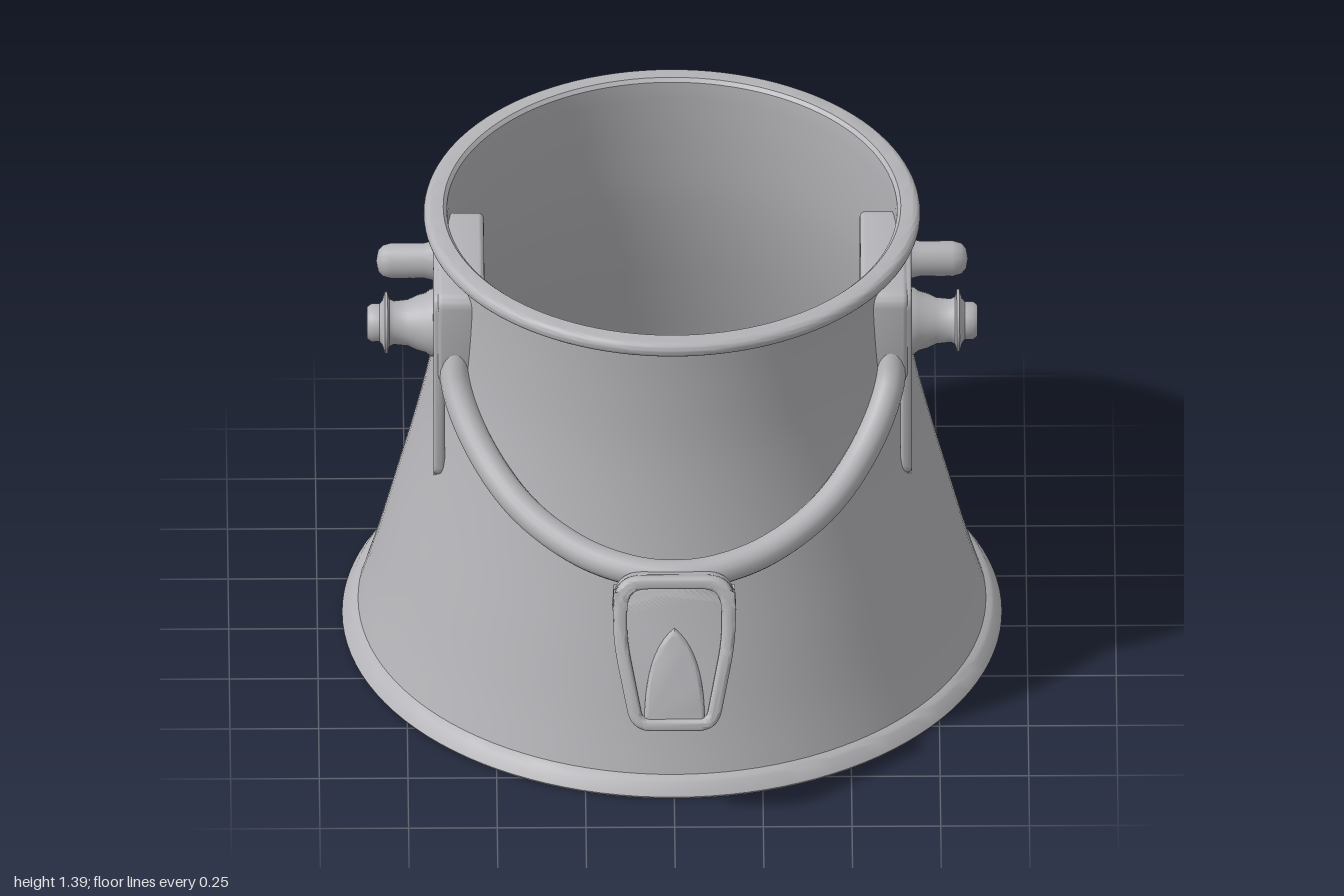
import * as THREE from 'three';
import { toCreasedNormals } from 'three/addons/utils/BufferGeometryUtils.js';

const metal = new THREE.MeshStandardMaterial({ color: 0xb4b4b8, side: THREE.DoubleSide });
metal.name = 'grey metal';

const v2 = (pts) => pts.map(([x, y]) => new THREE.Vector2(x, y));

function part(name, geometry) {
  const mesh = new THREE.Mesh(geometry, metal);
  mesh.name = name;
  return mesh;
}

// Mirror a geometry across x, keeping the faces pointing outwards
function mirrorX(geometry) {
  const g = geometry.index ? geometry.toNonIndexed() : geometry.clone();
  g.scale(-1, 1, 1);
  for (const key of ['position', 'normal']) {
    const a = g.attributes[key];
    for (let i = 0; i < a.count; i += 3) {
      const p = [a.getX(i), a.getY(i), a.getZ(i)];
      a.setXYZ(i, a.getX(i + 1), a.getY(i + 1), a.getZ(i + 1));
      a.setXYZ(i + 1, ...p);
    }
  }
  return g;
}

// Closed outline with rounded corners; each point is [x, y, radius]
function roundedOutline(pts, Type = THREE.Shape) {
  const shape = new Type();
  const n = pts.length;
  pts.forEach(([x, y, r], i) => {
    const toward = ([px, py]) => {
      const d = Math.hypot(px - x, py - y);
      return [x + ((px - x) * r) / d, y + ((py - y) * r) / d];
    };
    const a = toward(pts[(i + n - 1) % n]);
    const b = toward(pts[(i + 1) % n]);
    if (i === 0) shape.moveTo(...a);
    else shape.lineTo(...a);
    shape.quadraticCurveTo(x, y, ...b);
  });
  shape.closePath();
  return shape;
}

function extrude(shape, depth, bevel) {
  const g = new THREE.ExtrudeGeometry(shape, {
    depth: depth - 2 * bevel, bevelEnabled: bevel > 0, bevelSize: bevel, bevelOffset: -bevel,
    bevelThickness: bevel, bevelSegments: 4, curveSegments: 10,
  });
  g.translate(0, 0, bevel);
  return g;
}

// Side plate: outline drawn in (-z, y), thickness running from x0 to x1
function sidePlate(pts, x0, x1, bevel) {
  const g = extrude(roundedOutline(pts), x1 - x0, bevel);
  g.rotateY(Math.PI / 2).translate(x0, 0, 0);
  return toCreasedNormals(g, 0.6);
}

// Turned pin pointing along +x; profile points are [radius, x]
function pin(profile, y, z, squash = 1) {
  const g = new THREE.LatheGeometry(v2(profile), 32);
  g.rotateZ(-Math.PI / 2).scale(1, 1, squash).translate(0, y, z);
  return toCreasedNormals(g, 0.7);
}

function createBody() {
  const wall = new THREE.SplineCurve(v2([
    [0.885, 0.055], [0.842, 0.2], [0.79, 0.4], [0.739, 0.6],
    [0.694, 0.8], [0.662, 1.0], [0.648, 1.2], [0.645, 1.345],
  ])).getPoints(36);
  const inner = wall.map((p) => new THREE.Vector2(p.x - 0.012, p.y)).reverse();
  const rim = [];
  for (let i = 0; i <= 12; i++) {
    const a = -Math.PI / 2 + (Math.PI * i) / 12;
    rim.push(new THREE.Vector2(0.678 + 0.022 * Math.cos(a), 1.367 + 0.023 * Math.sin(a)));
  }
  const profile = [
    ...v2([[0.9, 0], [0.925, 0], [0.93, 0.008], [0.908, 0.042], [0.9, 0.048]]),
    ...wall, ...rim,
    ...v2([[0.645, 1.39], [0.635, 1.38]]),
    ...inner, ...v2([[0.9, 0]]),
  ];
  const g = toCreasedNormals(new THREE.LatheGeometry(profile, 112), 0.6);
  return part('flared body', g.translate(0, 0, -0.068));
}

function createHandle() {
  const half = [[0.615, 1.09, 0.2], [0.61, 1.0, 0.255], [0.55, 0.885, 0.375],
    [0.43, 0.78, 0.535], [0.27, 0.715, 0.66], [0.12, 0.693, 0.73]];
  const pts = [
    ...half, [0, 0.69, 0.75],
    ...half.map(([x, y, z]) => [-x, y, z]).reverse(),
  ].map((p) => new THREE.Vector3(...p));
  return part('swing handle', new THREE.TubeGeometry(new THREE.CatmullRomCurve3(pts), 96, 0.043, 16));
}

function createTab() {
  const tab = new THREE.Group();
  tab.name = 'handle tab';
  const outline = [[-0.122, -0.225, 0.06], [0.122, -0.225, 0.06],
    [0.178, 0.06, 0.1], [0.168, 0.222, 0.08], [-0.168, 0.222, 0.08], [-0.178, 0.06, 0.1]];
  const hole = [[-0.09, -0.19, 0.02], [0.09, -0.19, 0.02],
    [0.138, 0.06, 0.08], [0.128, 0.185, 0.05], [-0.128, 0.185, 0.05], [-0.138, 0.06, 0.08]];

  // Base grows thicker towards its top
  const base = extrude(roundedOutline(outline), 0.05, 0.015);
  const p = base.attributes.position;
  for (let i = 0; i < p.count; i++) {
    const t = THREE.MathUtils.clamp((p.getY(i) + 0.225) / 0.4, 0, 1);
    p.setZ(i, (p.getZ(i) - 0.05) * (0.5 + 0.9 * t) - 0.015);
  }
  tab.add(part('tab base', toCreasedNormals(base, 0.8)));

  // Raised frame around the sunken face
  const frame = roundedOutline(outline);
  frame.holes.push(roundedOutline(hole, THREE.Path));
  const frameGeo = extrude(frame, 0.045, 0.012).translate(0, 0, -0.035);
  tab.add(part('tab frame', toCreasedNormals(frameGeo, 0.8)));

  // Pointed ridge on the face
  const ridge = new THREE.Shape();
  ridge.moveTo(-0.085, -0.2);
  ridge.lineTo(0.085, -0.2);
  ridge.quadraticCurveTo(0.085, 0, 0, 0.07);
  ridge.quadraticCurveTo(-0.085, 0, -0.085, -0.2);
  tab.add(part('tab ridge', toCreasedNormals(extrude(ridge, 0.03, 0.012).translate(0, 0, -0.03), 0.8)));

  tab.rotation.x = -0.38;
  tab.position.set(0, 0.535, 0.915);
  return tab;
}

export function createModel() {
  const model = new THREE.Group();
  model.name = 'flared bucket';
  model.add(createBody(), createHandle(), createTab());

  // Hinge hardware, made for the left side and mirrored
  const hardware = {
    hingeBlock: sidePlate([[-0.245, 1.0, 0.03], [0.21, 1.0, 0.03],
      [0.215, 1.29, 0.05], [-0.245, 1.29, 0.05]], 0.53, 0.664, 0.015),
    hingePlate: sidePlate([[-0.2, 0.665, 0.02], [0.21, 0.84, 0.02],
      [0.215, 1.285, 0.05], [-0.24, 1.285, 0.05], [-0.235, 0.68, 0.03]], 0.642, 0.674, 0.01),
    upperPin: pin([[0.066, 0.64], [0.06, 0.67], [0.052, 0.7], [0.053, 0.79],
      [0.046, 0.815], [0.03, 0.829], [0, 0.834]], 1.217, -0.055, 0.85),
    lowerPin: pin([[0.1, 0.64], [0.096, 0.68], [0.085, 0.695], [0.078, 0.72], [0.066, 0.745],
      [0.062, 0.785], [0.068, 0.797], [0.088, 0.802], [0.088, 0.81], [0.062, 0.818],
      [0.054, 0.825], [0.054, 0.848], [0.045, 0.86], [0, 0.862]], 1.043, 0),
  };
  for (const side of ['left', 'right']) {
    const hinge = new THREE.Group();
    hinge.name = side + ' hinge';
    for (const [name, g] of Object.entries(hardware)) {
      hinge.add(part(name, side === 'left' ? g : mirrorX(g)));
    }
    model.add(hinge);
  }
  return model;
}
